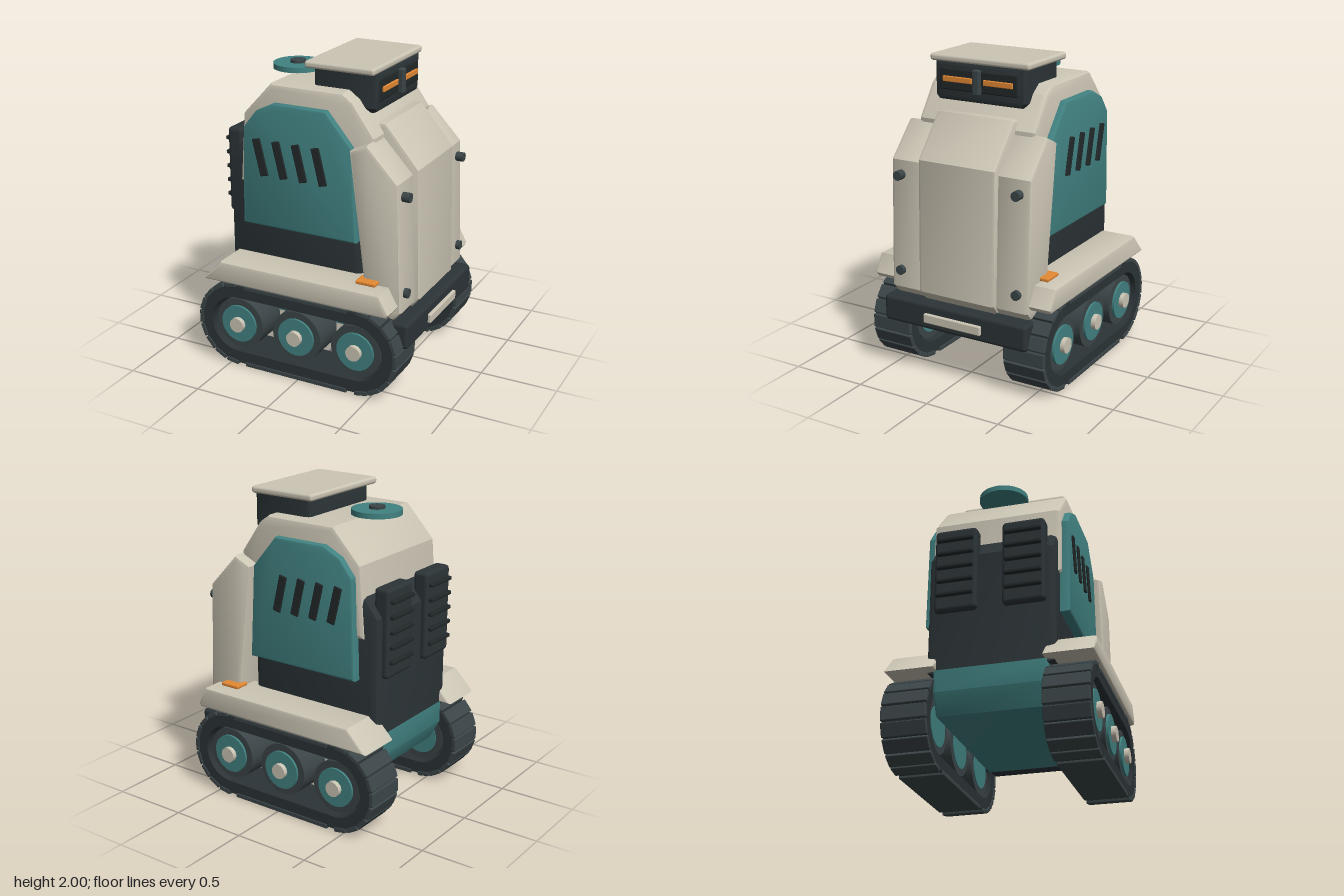
import * as THREE from 'three';
import { toCreasedNormals } from 'three/addons/utils/BufferGeometryUtils.js';
import { RoundedBoxGeometry } from 'three/addons/geometries/RoundedBoxGeometry.js';

const mat = (color) => new THREE.MeshStandardMaterial({ color });

export function createModel() {
  const root = new THREE.Group();
  const cream = mat(0xcbc5b4), dark = mat(0x2c3437), trim = mat(0x3b4548);
  const black = mat(0x222829), teal = mat(0x428282), orange = mat(0xe58a34);

  function add(name, geometry, material, x = 0, y = 0, z = 0, parent = root) {
    const mesh = new THREE.Mesh(geometry, material);
    mesh.name = name;
    mesh.position.set(x, y, z);
    parent.add(mesh);
    return mesh;
  }
  // Side profile in x/y, extruded to a given width about z, bevelled inwards
  function slab(points, width, bevel, hole) {
    const shape = Array.isArray(points) ? new THREE.Shape(points.map((p) => new THREE.Vector2(...p))) : points;
    if (hole) shape.holes.push(hole);
    const g = new THREE.ExtrudeGeometry(shape, {
      depth: width - 2 * bevel, bevelEnabled: bevel > 0, bevelThickness: bevel,
      bevelSize: bevel, bevelOffset: -bevel, bevelSegments: 2, curveSegments: 20,
    });
    g.translate(0, 0, bevel - width / 2);
    return toCreasedNormals(g, 0.5);
  }
  const box = (w, h, d, r = 0.01) => new RoundedBoxGeometry(w, h, d, 2, r);
  const disc = (r, len, n = 32) => new THREE.CylinderGeometry(r, r, len, n).rotateX(Math.PI / 2);

  // Hull and body
  add('chassis', slab([[-0.6, 0.58], [-0.6, 0.44], [-0.53, 0.31], [0.53, 0.31], [0.6, 0.42], [0.6, 0.58]], 0.7, 0.015), teal);
  add('body', slab([[-0.595, 0.56], [-0.595, 1.33], [-0.5, 1.45], [0.28, 1.45], [0.34, 0.9], [0.34, 0.56]], 0.8, 0.04), dark);
  add('upperShell', slab([[-0.51, 1.19], [-0.475, 1.64], [-0.28, 1.85], [0.21, 1.85], [0.28, 1.8],
    [0.42, 1.6], [0.42, 1.19]], 0.83, 0.03), cream);
  add('frontPanel', slab([[0.34, 1.66], [0.43, 1.66], [0.648, 1.4], [0.67, 0.56], [0.62, 0.5], [0.34, 0.5]], 0.55, 0.025), cream);

  // Bumper and plate
  add('bumper', box(0.2, 0.17, 1.03, 0.025), dark, 0.605, 0.415, 0);
  add('bumperPlate', box(0.03, 0.06, 0.41, 0.008), cream, 0.711, 0.41, 0);

  // Head
  const head = new THREE.Group();
  head.name = 'head';
  root.add(head);
  // cross-section is drawn across the head, then turned to run along x
  const headGeo = slab([[-0.315, 1.97], [-0.315, 1.75], [-0.29, 1.72], [0.29, 1.72], [0.315, 1.75], [0.315, 1.97]], 0.42, 0.03);
  add('headHousing', headGeo.rotateY(Math.PI / 2), dark, 0.175, 0, 0, head);
  add('visor', box(0.03, 0.135, 0.55), black, 0.378, 1.855, 0, head);
  add('visorBar', box(0.04, 0.155, 0.05), trim, 0.405, 1.855, 0, head);
  add('roof', box(0.465, 0.045, 0.7, 0.018), cream, 0.153, 1.9775, 0, head);
  for (const s of [-1, 1]) add('eyeLight', box(0.02, 0.035, 0.205, 0.005), orange, 0.394, 1.857, s * 0.143, head);

  // Top hatch
  add('hatch', new THREE.CylinderGeometry(0.158, 0.158, 0.034, 40), teal, -0.313, 1.872, 0);
  add('hatchKnob', new THREE.CylinderGeometry(0.05, 0.05, 0.02, 24), trim, -0.313, 1.897, 0);

  // Track loop around the two end wheels
  const xBack = -0.435, xFront = 0.395, axleY = 0.29;
  function loop(path, r) {
    path.absarc(xFront, axleY, r, -Math.PI / 2, Math.PI / 2, false);
    path.absarc(xBack, axleY, r, Math.PI / 2, Math.PI * 1.5, false);
    path.closePath();
    return path;
  }
  const beltGeo = slab(loop(new THREE.Shape(), 0.272), 0.27, 0, loop(new THREE.Path(), 0.19));
  const padGeo = box(0.03, 0.088, 0.28, 0.006);
  const barGeo = box(0.73, 0.03, 0.28, 0.006);

  for (const s of [-1, 1]) {
    const side = new THREE.Group();
    side.name = s > 0 ? 'leftSide' : 'rightSide';
    root.add(side);
    const put = (name, g, m, x, y, z) => add(name, g, m, x, y, s * z, side);

    // Tracks
    put('trackBelt', beltGeo, dark, 0, 0, 0.482);
    for (const y of [0.016, 0.556]) put('trackBar', barGeo, trim, -0.02, y, 0.482);
    for (const [cx, start] of [[xFront, -Math.PI / 2], [xBack, Math.PI / 2]]) {
      for (let i = 0; i < 9; i++) {
        const a = start + (i + 0.5) * Math.PI / 9;
        put('trackPad', padGeo, trim, cx + 0.272 * Math.cos(a), axleY + 0.272 * Math.sin(a), 0.482).rotation.z = a;
      }
    }
    // Road wheels
    for (const x of [xBack, -0.02, xFront]) {
      put('wheelTyre', disc(0.17, 0.22), trim, x, axleY, 0.48);
      put('wheelDisc', disc(0.125, 0.24), teal, x, axleY, 0.485);
      put('wheelHub', disc(0.05, 0.1, 12), cream, x, axleY, 0.585);
    }
    // Fender and marker light
    put('fender', slab([[-0.675, 0.575], [-0.54, 0.715], [0.565, 0.715], [0.628, 0.6], [0.612, 0.575]], 0.305, 0.018), cream, 0, 0, 0.485);
    put('markerLight', box(0.133, 0.022, 0.1, 0.006), orange, 0.435, 0.733, 0.5);

    // Side panel with slanted vents
    put('sidePanel', slab([[-0.468, 0.935], [-0.447, 1.57], [-0.36, 1.68], [-0.24, 1.738], [0.12, 1.738],
      [0.29, 1.535], [0.325, 0.935]], 0.1, 0.015), teal, 0, 0, 0.41);
    for (let i = 0; i < 4; i++) put('vent', box(0.055, 0.24, 0.03, 0.006), black, -0.328 + i * 0.136, 1.39, 0.456).rotation.z = 0.235;

    // Front corner pod with bolts
    put('frontPod', slab([[0.293, 1.53], [0.41, 1.585], [0.612, 1.37], [0.643, 0.55], [0.6, 0.5], [0.42, 0.5]], 0.245, 0.025), cream, 0, 0, 0.3725);
    for (const y of [1.28, 0.665]) {
      put('bolt', new THREE.CylinderGeometry(0.03, 0.03, 0.05, 16).rotateZ(Math.PI / 2), trim, 0.64, y, 0.417);
    }

    // Rear radiator with ribs
    put('radiator', box(0.105, 0.56, 0.27, 0.025), dark, -0.583, 1.23, 0.215);
    for (let i = 0; i < 5; i++) put('radiatorRib', box(0.04, 0.025, 0.23, 0.008), black, -0.642, 1.055 + i * 0.094, 0.215);
  }
  return root;
}
